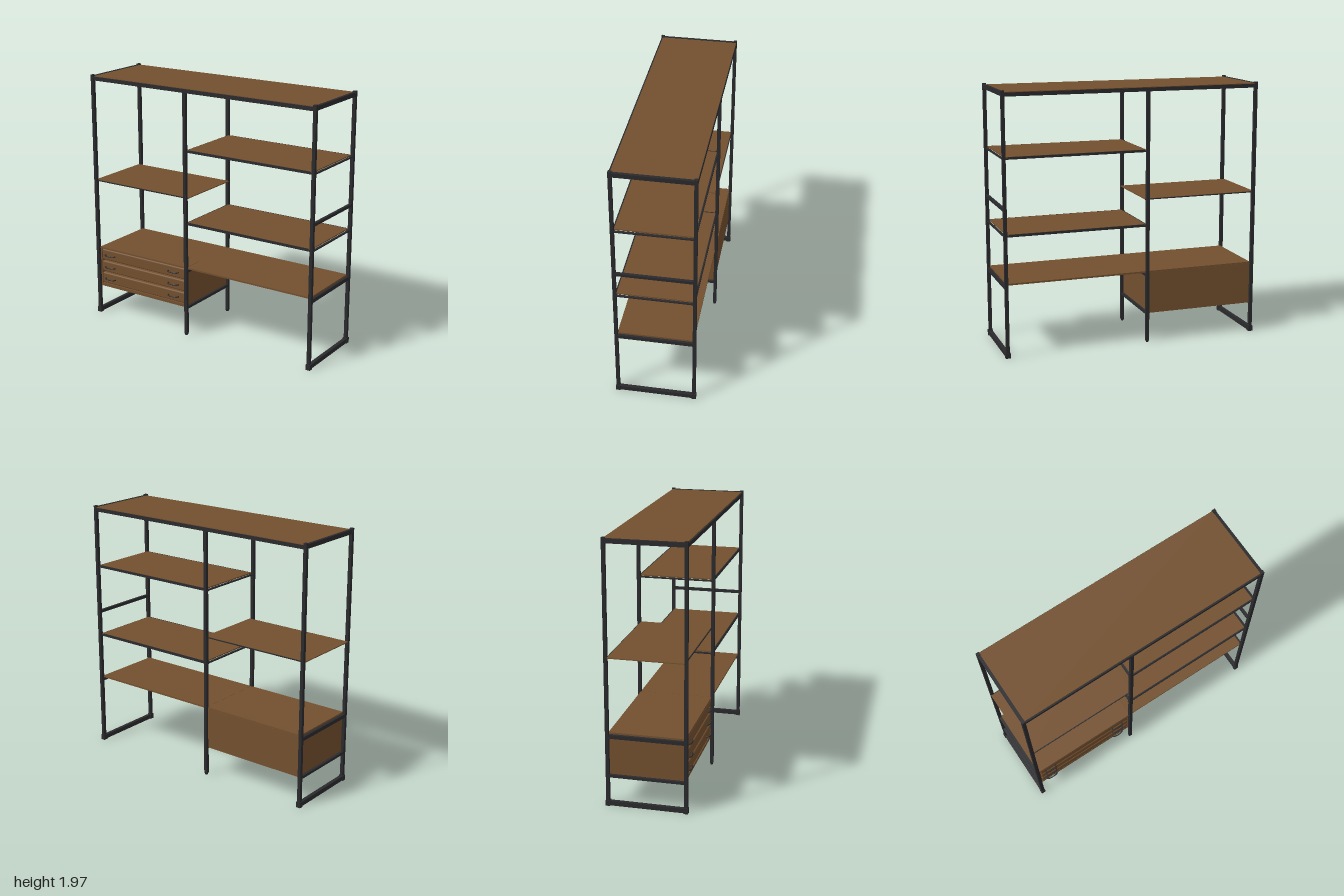
import * as THREE from 'three';
import { RoundedBoxGeometry } from 'three/addons/geometries/RoundedBoxGeometry.js';

export function createModel() {
  const root = new THREE.Group();
  root.name = 'shelvingUnit';
  const wood = new THREE.MeshStandardMaterial({ color: 0x73502f });
  wood.name = 'walnutWood';
  const metal = new THREE.MeshStandardMaterial({ color: 0x2a2a2d });
  metal.name = 'blackMetal';

  const add = (name, geometry, material, parent = root) => {
    const mesh = new THREE.Mesh(geometry, material);
    mesh.name = name;
    parent.add(mesh);
    return mesh;
  };
  // Box given by its extents along each axis
  const box = (name, material, [x0, x1], [y0, y1], [z0, z1], parent = root) => {
    const mesh = add(name, new THREE.BoxGeometry(x1 - x0, y1 - y0, z1 - z0), material, parent);
    mesh.position.set((x0 + x1) / 2, (y0 + y1) / 2, (z0 + z1) / 2);
    return mesh;
  };

  const endX = 0.982, midX = -0.113, postZ = 0.288, half = 0.0125;
  const around = (c, r = half) => [c - r, c + r];
  const inner = [-postZ + half, postZ - half];

  // Upright posts
  for (const z of [-postZ, postZ]) {
    for (const x of [-endX, endX]) {
      box('endPost', metal, around(x), [0.02, 1.97], around(z));
      box('postFoot', metal, around(x, 0.018), [0, 0.042], around(z, 0.016));
    }
    box('middlePost', metal, around(midX), [0.02, 1.945], around(z));
    const tip = add('middlePostTip', new THREE.CylinderGeometry(0.0175, 0.01, 0.018, 4), metal);
    tip.rotation.y = Math.PI / 4;
    tip.position.set(midX, 0.012, z);
    // Long rails of the top frame
    box('topRail', metal, [-endX, endX], [1.927, 1.955], around(z, 0.011));
  }

  // Cross rails from front to back
  const crossRail = (name, x, y0, y1) => box(name, metal, around(x, 0.011), [y0, y1], inner);
  for (const x of [-endX, endX]) {
    box('floorRail', metal, around(x, 0.014), [0.004, 0.038], inner);
    crossRail('endTopRail', x, 1.93, 1.962);
  }
  crossRail('middleTopRail', midX, 1.927, 1.95);
  crossRail('endSupportRail', endX, 1.1, 1.122);
  for (const x of [-endX, midX, endX]) crossRail('lowerShelfRail', x, 0.52, 0.548);
  for (const x of [-endX, midX]) crossRail('cabinetRail', x, 0.222, 0.242);

  // Full-width boards
  box('topBoard', wood, [-0.972, 0.972], [1.948, 1.96], [-0.296, 0.288]);
  box('lowerBoardLeft', wood, [-0.972, midX - 0.001], [0.549, 0.562], [-0.28, 0.28]);
  box('lowerBoardRight', wood, [midX + 0.001, 0.975], [0.549, 0.562], [-0.28, 0.28]);

  // Thin shelf of the left bay
  box('leftShelf', wood, [-0.995, -0.095], [1.117, 1.124], [-0.276, 0.276]);
  for (const z of [-0.279, 0.279])
    box('leftShelfEdge', metal, [-0.995, -0.095], [1.115, 1.122], around(z, 0.003));

  // Two slatted shelves of the right bay
  for (const y of [1.485, 0.918]) {
    const shelf = new THREE.Group();
    shelf.name = 'slattedShelf';
    shelf.position.y = y;
    root.add(shelf);
    box('shelfBoard', wood, [-0.1, 0.97], [0.001, 0.01], [-0.277, 0.277], shelf);
    for (const z of [-0.281, 0.281]) {
      box('shelfRail', metal, [-0.13, 0.995], [-0.008, 0.001], around(z, 0.008), shelf);
      box('shelfLip', metal, [-0.09, 0.95], [0, 0.009], around(z, 0.005), shelf);
    }
    for (const x of [midX, endX])
      box('shelfEndBar', metal, around(x, 0.009), [-0.008, 0.001], inner, shelf);
    for (let i = 0; i < 7; i++)
      box('shelfSlat', metal, around(0.03 + i * 0.135, 0.009), [-0.008, 0.001], inner, shelf);
  }

  // Drawer cabinet
  const cabinet = new THREE.Group();
  cabinet.name = 'drawerCabinet';
  root.add(cabinet);
  const x0 = -0.97, x1 = -0.12;
  box('cabinetLeftSide', wood, [x1 - 0.012, x1], [0.235, 0.55], [-0.275, 0.278], cabinet);
  box('cabinetRightSide', wood, [x0, x0 + 0.012], [0.235, 0.55], [-0.275, 0.278], cabinet);
  box('cabinetBack', wood, [x0, x1], [0.23, 0.55], [-0.281, -0.27], cabinet);
  box('cabinetBottom', wood, [x0, x1], [0.228, 0.252], [-0.275, 0.278], cabinet);
  box('cabinetBottomBar', metal, [x0, x1], [0.222, 0.23], [-0.05, 0.04], cabinet);

  // Drawers with a pair of bow handles each
  const handleCurve = new THREE.CatmullRomCurve3([
    [-0.047, 0, -0.012], [-0.044, 0, 0.012], [-0.03, 0, 0.02],
    [0.03, 0, 0.02], [0.044, 0, 0.012], [0.047, 0, -0.012],
  ].map((p) => new THREE.Vector3(...p)));
  const handleGeometry = new THREE.TubeGeometry(handleCurve, 24, 0.005, 8);
  for (const y of [0.302, 0.402, 0.502]) {
    const front = add('drawerFront', new RoundedBoxGeometry(0.822, 0.09, 0.04, 3, 0.012), wood, cabinet);
    front.position.set((x0 + x1) / 2, y, 0.26);
    box('drawerBody', wood, [x0 + 0.02, x1 - 0.02], [y - 0.035, y + 0.03], [-0.26, 0.25], cabinet);
    for (const x of [-0.87, -0.24])
      add('drawerHandle', handleGeometry, metal, cabinet).position.set(x, y, 0.283);
  }

  return root;
}
